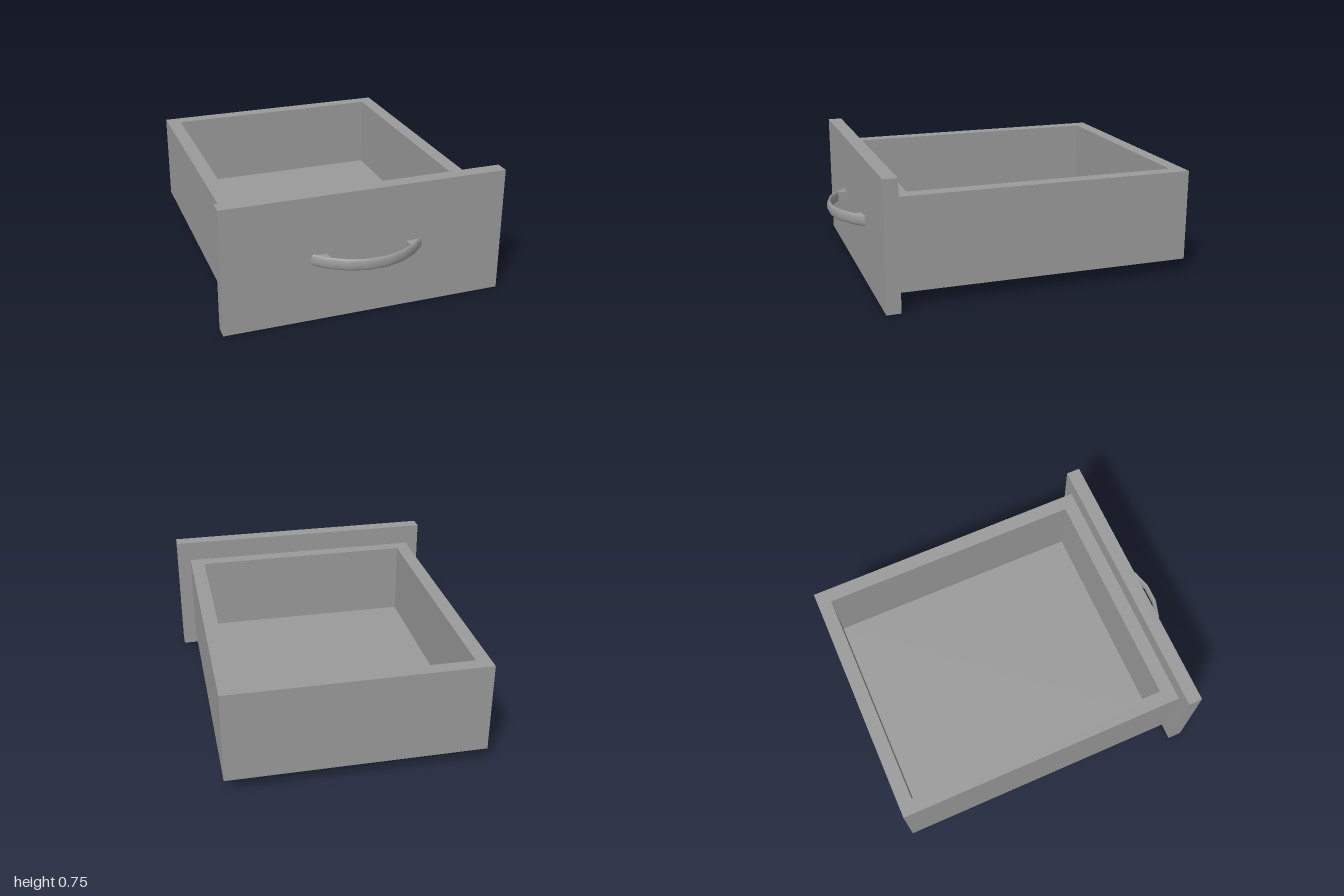
import * as THREE from 'three';

const material = new THREE.MeshStandardMaterial({ color: 0x9a9a9a });

function addMesh(parent, name, geometry) {
  const mesh = new THREE.Mesh(geometry, material);
  mesh.name = name;
  parent.add(mesh);
  return mesh;
}

// Box given by its minimum and maximum corners
function boxBetween([x0, y0, z0], [x1, y1, z1]) {
  const geometry = new THREE.BoxGeometry(x1 - x0, y1 - y0, z1 - z0);
  return geometry.translate((x0 + x1) / 2, (y0 + y1) / 2, (z0 + z1) / 2);
}

// Rectangle outline in plan, as [x, z] points
function rectangle(x, z0, z1) {
  return [[-x, z0], [x, z0], [x, z1], [-x, z1]].map(([a, b]) => new THREE.Vector2(a, b));
}

// Extrudes a plan (x, z) shape upwards between two heights
function extrudePlan(shape, y0, y1) {
  const geometry = new THREE.ExtrudeGeometry(shape, { depth: y1 - y0, bevelEnabled: false });
  return geometry.rotateX(Math.PI / 2).translate(0, y1, 0);
}

export function createModel() {
  const drawer = new THREE.Group();
  drawer.name = 'drawer';

  // Front panel, overlapping the box on all sides
  addMesh(drawer, 'frontPanel', boxBetween([-0.838, 0, 0.761], [0.838, 0.755, 0.845]));

  // Four walls as one rectangular ring
  const ring = new THREE.Shape(rectangle(0.755, -1, 0.761));
  ring.holes.push(new THREE.Path(rectangle(0.67, -0.917, 0.678)));
  addMesh(drawer, 'walls', extrudePlan(ring, 0.086, 0.63));

  // Bottom board, recessed above the lower edge of the walls
  addMesh(drawer, 'bottomBoard', boxBetween([-0.67, 0.126, -0.917], [0.67, 0.172, 0.678]));

  // Bowed handle: a flattened tube whose ends sink into the panel
  const handle = new THREE.Group();
  handle.name = 'handle';
  drawer.add(handle);
  const half = [[0.065, 0.987], [0.173, 0.953], [0.266, 0.893], [0.34, 0.82]];
  const points = [...half.map(([x, z]) => [-x, z]).reverse(), ...half]
    .map(([x, z]) => new THREE.Vector3(x, 0, z));
  const bow = new THREE.TubeGeometry(new THREE.CatmullRomCurve3(points), 7, 0.012, 16);
  addMesh(handle, 'handleBow', bow.scale(1, 2.9, 1).translate(0, 0.379, 0));

  // Small wedge feet behind each end of the bow
  for (const side of [1, -1]) {
    const outline = [[0.237, 0.84], [0.322, 0.84], [0.285, 0.876], [0.237, 0.908]]
      .map(([x, z]) => new THREE.Vector2(side * x, z));
    addMesh(handle, side > 0 ? 'leftFoot' : 'rightFoot',
      extrudePlan(new THREE.Shape(outline), 0.352, 0.406));
  }

  return drawer;
}
